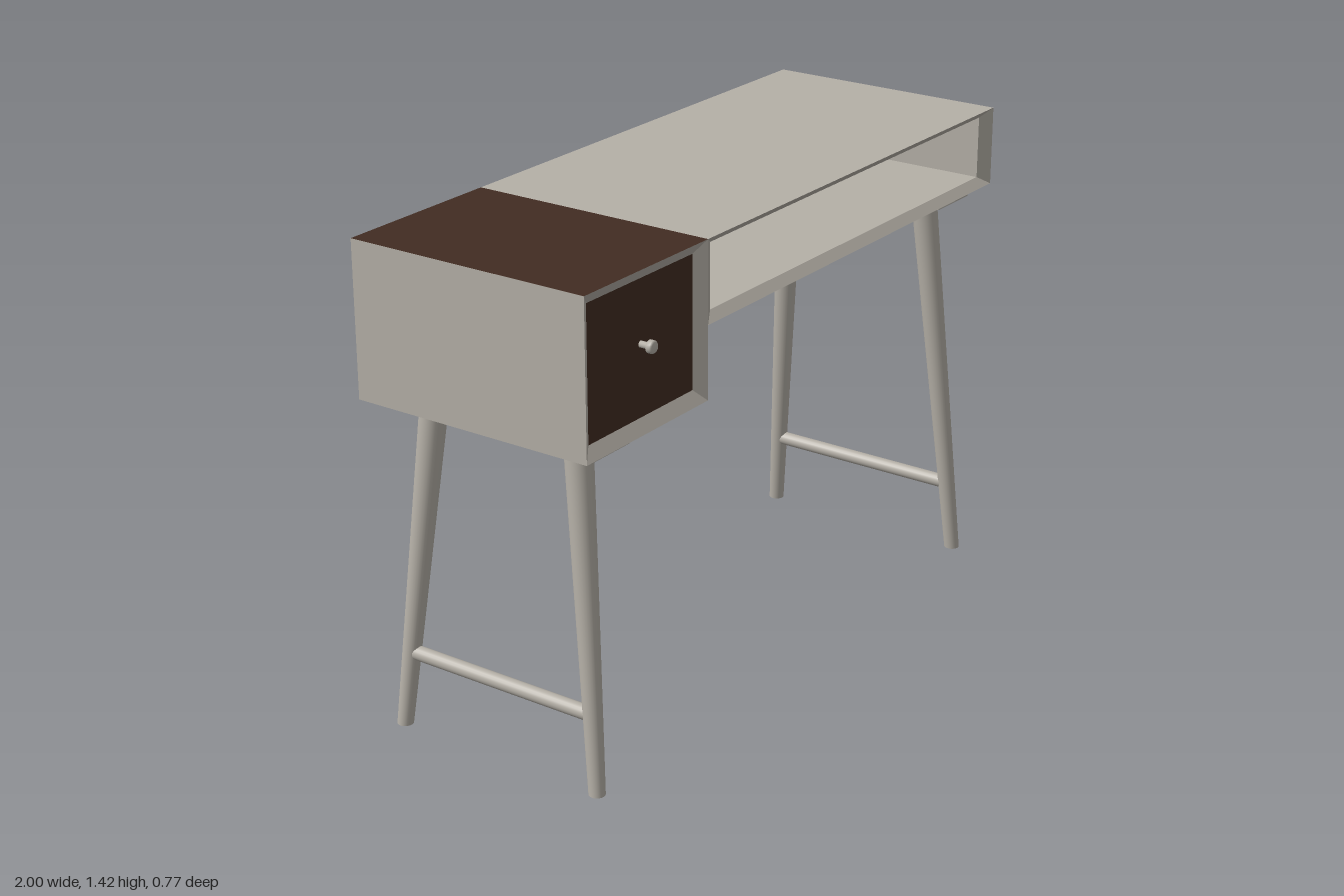
import * as THREE from 'three';

const BACK = -0.385, FRONT = 0.365, FACE = 0.34, PANEL = -0.365;

// Open rectangular case: outer rect o and opening n, each [x0, x1, y0, y1],
// with a chamfered front rim. Group material 1 is used on the top face.
function caseGeometry(o, n) {
  const ring = ([x0, x1, y0, y1], z) => [[x0, y0, z], [x1, y0, z], [x1, y1, z], [x0, y1, z]];
  const rings = [ring(n, BACK), ring(o, BACK), ring(o, FRONT), ring(n, FACE), ring(n, BACK)];
  const pos = [];
  const geo = new THREE.BufferGeometry();
  for (let r = 0; r < 4; r++) {
    for (let i = 0; i < 4; i++) {
      const j = (i + 1) % 4, a = rings[r], b = rings[r + 1];
      geo.addGroup(pos.length / 3, 6, r === 1 && i === 2 ? 1 : 0);
      for (const p of [a[i], a[j], b[j], a[i], b[j], b[i]]) pos.push(...p);
    }
  }
  geo.setAttribute('position', new THREE.Float32BufferAttribute(pos, 3));
  geo.computeVertexNormals();
  return geo;
}

export function createModel() {
  const model = new THREE.Group();
  model.name = 'desk';
  const grey = new THREE.MeshStandardMaterial({ color: 0xb5b0a7 });
  grey.name = 'warm grey';
  const brown = new THREE.MeshStandardMaterial({ color: 0x422c22 });
  brown.name = 'dark brown';

  const add = (name, geo, mat = grey) => {
    const mesh = new THREE.Mesh(geo, mat);
    mesh.name = name;
    model.add(mesh);
    return mesh;
  };
  const box = (name, [x0, x1, y0, y1], z0, z1, mat) =>
    add(name, new THREE.BoxGeometry(x1 - x0, y1 - y0, z1 - z0), mat)
      .position.set((x0 + x1) / 2, (y0 + y1) / 2, (z0 + z1) / 2);

  // Drawer case and open shelf case, with recessed back panels
  const drawerHole = [-0.96, -0.515, 1.015, 1.39];
  const shelfHole = [-0.435, 0.96, 1.215, 1.4];
  add('drawerCase', caseGeometry([-1, -0.48, 0.98, 1.425], drawerHole), [grey, brown]);
  add('shelfCase', caseGeometry([-0.48, 1, 1.19, 1.425], shelfHole), [grey, grey]);
  box('drawerBackPanel', drawerHole, PANEL, PANEL + 0.015);
  box('shelfBackPanel', shelfHole, PANEL, PANEL + 0.015);
  box('drawerFront', drawerHole, FACE - 0.02, FACE, brown);

  // Drawer knob turned around z
  const knob = [[0, 0], [0.009, 0], [0.009, 0.024], [0.018, 0.028], [0.018, 0.04], [0.014, 0.045], [0, 0.045]];
  const knobGeo = new THREE.LatheGeometry(knob.map(p => new THREE.Vector2(...p)), 20);
  knobGeo.rotateX(Math.PI / 2);
  add('knob', knobGeo).position.set(-0.74, 1.215, FACE);

  // Splayed tapered legs with flat ends, sheared from foot to top
  const leg = (name, foot, top, height) => {
    const geo = new THREE.CylinderGeometry(0.039, 0.023, height, 28);
    geo.translate(0, height / 2, 0);
    geo.applyMatrix4(new THREE.Matrix4().set(
      1, (top[0] - foot[0]) / height, 0, foot[0],
      0, 1, 0, 0,
      0, (top[1] - foot[1]) / height, 1, foot[1],
      0, 0, 0, 1));
    add(name, geo);
  };

  // Each side: mounting plate, front and back leg, stretcher
  const sides = [
    { name: 'right', plate: [-0.945, -0.77], height: 0.95, foot: -0.93, top: -0.862 },
    { name: 'left', plate: [0.765, 0.935], height: 1.16, foot: 0.925, top: 0.837 },
  ];
  for (const s of sides) {
    box(s.name + 'Plate', [...s.plate, s.height, s.height + 0.03], -0.34, 0.325);
    leg(s.name + 'FrontLeg', [s.foot, 0.325], [s.top, 0.232], s.height);
    leg(s.name + 'BackLeg', [s.foot, -0.341], [s.top, -0.248], s.height);
    const rod = new THREE.CylinderGeometry(0.021, 0.021, 0.6, 20);
    rod.rotateX(Math.PI / 2);
    const x = s.foot + (s.top - s.foot) * 0.223 / s.height;
    add(s.name + 'Stretcher', rod).position.set(x, 0.223, -0.008);
  }
  return model;
}
